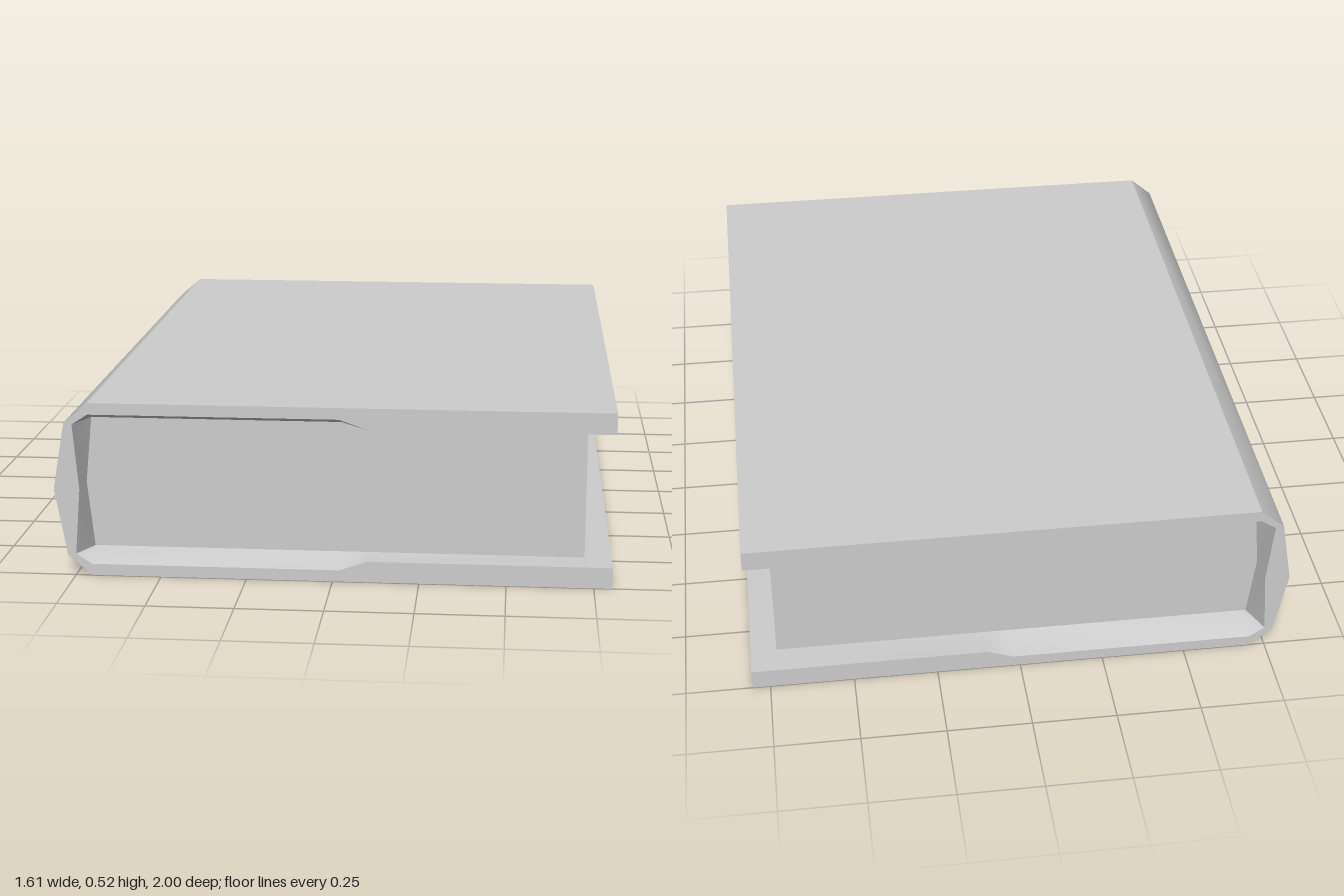
import * as THREE from 'three';
import { toCreasedNormals } from 'three/addons/utils/BufferGeometryUtils.js';

const HEIGHT = 0.516;
const PAGE_Z = 0.912;

// Complete an upper profile (fore edge to spine middle) with its lower mirror
const mirrored = (upper) => [
  ...upper,
  ...upper.slice(0, -1).reverse().map(([x, y]) => [x, HEIGHT - y]),
];

const extrude = (points, halfDepth) => {
  const shape = new THREE.Shape(points.map(([x, y]) => new THREE.Vector2(x, y)));
  const geometry = new THREE.ExtrudeGeometry(shape, { depth: 2 * halfDepth, bevelEnabled: false });
  return geometry.translate(0, 0, -halfDepth);
};

// Strip joining the cover's inner rim to the end of the page block
function loft(rim, pages, side) {
  const position = [];
  for (let i = 0; i < rim.length - 1; i++) {
    const a = [...rim[i], side], b = [...rim[i + 1], side];
    const c = [...pages[i + 1], side * PAGE_Z], d = [...pages[i], side * PAGE_Z];
    const corners = side > 0 ? [a, b, c, a, c, d] : [a, c, b, a, d, c];
    corners.forEach((p) => position.push(...p));
  }
  const geometry = new THREE.BufferGeometry();
  geometry.setAttribute('position', new THREE.Float32BufferAttribute(position, 3));
  return toCreasedNormals(geometry, 0.7);
}

export function createModel() {
  const book = new THREE.Group();
  book.name = 'book';
  const grey = new THREE.MeshStandardMaterial({ color: 0xcccccc, side: THREE.DoubleSide });
  grey.name = 'grey';

  const add = (name, geometry) => {
    const mesh = new THREE.Mesh(geometry, grey);
    mesh.name = name;
    book.add(mesh);
  };

  // Profiles run from the upper fore edge round to the middle of the spine
  const outer = mirrored([[0.803, 0.516], [-0.702, 0.516], [-0.772, 0.456], [-0.807, 0.258]]);
  const rim = mirrored([[0.803, 0.454], [0.1, 0.454], [0.02, 0.482], [-0.702, 0.482], [-0.748, 0.452], [-0.732, 0.258]]);
  const pageEnd = mirrored([[0.725, 0.453], [0.1, 0.453], [0.02, 0.453], [-0.69, 0.453], [-0.71, 0.453], [-0.73, 0.258]]);

  // Boards and rounded spine in one wrap
  add('cover', toCreasedNormals(extrude([...outer, ...rim.slice().reverse()], 1), 0.695));

  // Page block with a rounded back
  add('pages', extrude(pageEnd, PAGE_Z));

  // Sloping lining at both ends
  add('frontLining', loft(rim, pageEnd, 1));
  add('backLining', loft(rim, pageEnd, -1));

  return book;
}
